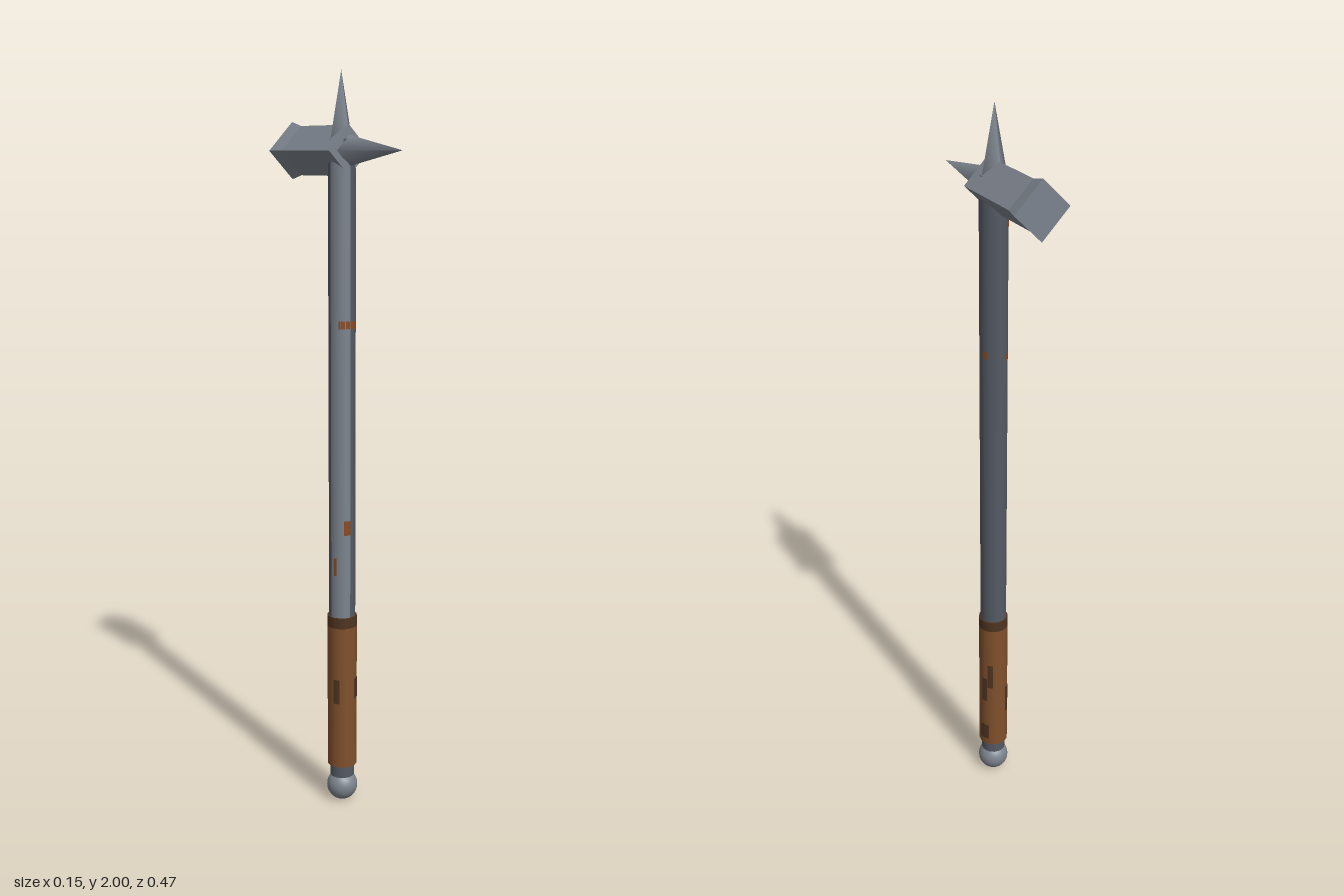
import * as THREE from 'three';

const mat = (name, color) => {
  const m = new THREE.MeshStandardMaterial({ color });
  m.name = name;
  return m;
};

export function createModel() {
  const group = new THREE.Group();
  const steel = mat('steel', 0x7c838d);
  const darkSteel = mat('dark steel', 0x545a64);
  const leather = mat('leather', 0x80502c);
  const darkLeather = mat('dark leather', 0x4f3420);
  const rust = mat('rust', 0x8a4a20);
  const axisZ = -0.012; // the shaft sits slightly behind the centre
  const headY = 1.8;

  const add = (name, geometry, material, x, y, z) => {
    const mesh = new THREE.Mesh(geometry, material);
    mesh.name = name;
    mesh.position.set(x, y, z);
    group.add(mesh);
    return mesh;
  };

  // Upright cylinder, or a sector of one, between two heights
  const tube = (name, r, y0, y1, material, start = 0, sweep = Math.PI * 2, open = false) =>
    add(name, new THREE.CylinderGeometry(r, r, y1 - y0, Math.max(2, Math.round(sweep / (Math.PI / 8))), 1, open, start, sweep),
      material, 0, (y0 + y1) / 2, axisZ);

  // Four-sided bar along z, standing on its edge
  const diamondBar = (name, zFront, zBack, rFront, rBack, material) => {
    const geo = new THREE.CylinderGeometry(rFront, rBack, zFront - zBack, 4).toNonIndexed();
    geo.rotateX(Math.PI / 2);
    geo.computeVertexNormals();
    return add(name, geo, material, 0, headY, (zFront + zBack) / 2);
  };

  // Pommel, collar and grip
  add('pommel', new THREE.SphereGeometry(0.043, 24, 16), steel, 0, 0.043, axisZ);
  tube('collar', 0.034, 0.075, 0.115, darkSteel);
  tube('grip', 0.041, 0.11, 0.52, leather);
  tube('gripTopBand', 0.041, 0.52, 0.55, darkLeather);
  for (const [y, h, angle, sweep] of [
    [0.31, 0.06, 0.3, 0.5], [0.13, 0.05, 1.6, 0.7], [0.27, 0.08, 1.75, 0.4],
    [0.32, 0.08, 2.2, 0.4], [0.22, 0.09, 3.6, 0.5], [0.3, 0.07, 5, 0.45],
  ]) tube('gripStain', 0.0414, y, y + h, darkLeather, angle, sweep, true);

  // Shaft, with a polished quarter on its front right
  tube('shaft', 0.0365, 0.54, 1.829, darkSteel);
  tube('polishedShaftSide', 0.0369, 0.55, 1.78, steel, -Math.PI / 2, Math.PI / 2, true);
  for (const [y, h, angle, sweep] of [
    [1.345, 0.02, -0.9, 1.5], [0.785, 0.04, -0.5, 0.5], [0.67, 0.05, -1.3, 0.25],
    [1.36, 0.02, 1.8, 0.4], [1.35, 0.02, 3.5, 0.8], [1.7, 0.05, 3.8, 0.25],
  ]) tube('rustSpot', 0.0373, y, y + h, rust, angle, sweep, true);

  // Hammer head with a flared striking face
  diamondBar('hammerHead', 0.019, -0.192, 0.064, 0.064, steel);
  diamondBar('strikingFace', -0.192, -0.234, 0.064, 0.075, steel);

  // Front and top spikes
  const frontSpike = add('frontSpike', new THREE.ConeGeometry(0.039, 0.214, 4), steel, 0, headY, 0.126);
  frontSpike.rotation.x = Math.PI / 2;
  add('topSpike', new THREE.ConeGeometry(0.034, 0.17, 4), steel, 0, 1.915, -0.015);

  return group;
}
